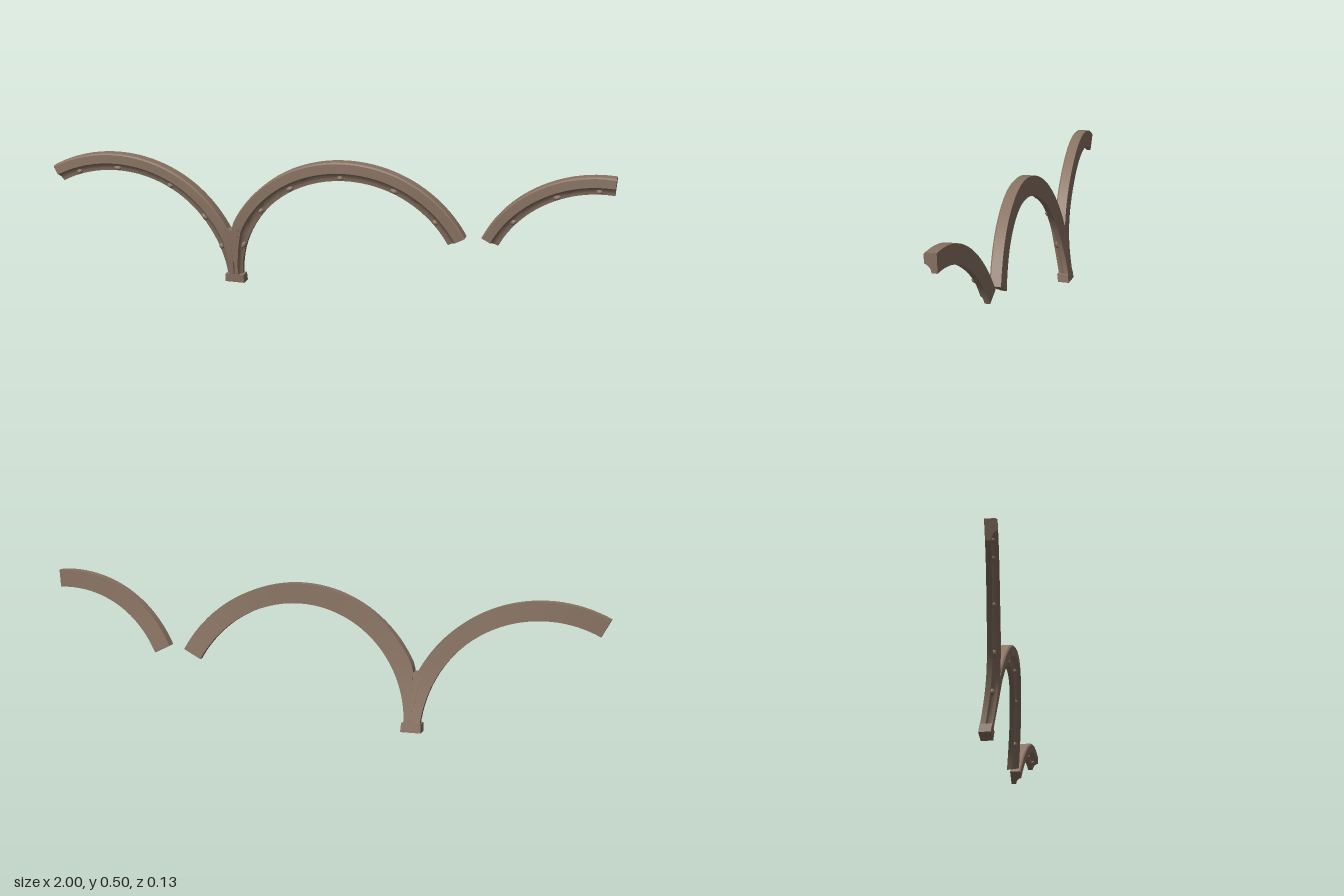
import * as THREE from 'three';
import { toCreasedNormals } from 'three/addons/utils/BufferGeometryUtils.js';

const rad = THREE.MathUtils.degToRad;
const LEG_X = -0.345;

// Moulding section: [fraction of width from inner edge, depth], counter-clockwise
const PROFILE = [
  [0, -0.02], [1, -0.02], [1, 0.015], [0.93, 0.02], [0.45, 0.02],
  [0.4, 0.012], [0.28, 0.004], [0.14, 0], [0, -0.002],
];

// Each arc: centre, inner and outer radius, [angle, depth] keys, angles of the beads
const ARCS = [
  { name: 'leftwardShortArch', cx: -0.78, cy: -0.006, r: 0.405, R: 0.47, leg: true,
    keys: [[1, -0.044], [26, -0.016], [60, 0.003], [90, 0.023], [118, 0.043]],
    beads: [20, 37, 60, 88, 108] },
  { name: 'middleArch', cx: 0.08, cy: 0.02, r: 0.4, R: 0.47, leg: true,
    keys: [[28, -0.034], [58, -0.01], [90, 0.007], [122, 0.003], [155, -0.016], [182.5, -0.044]],
    beads: [41, 66, 93, 120, 140, 162] },
  { name: 'separateArch', cx: 0.965, cy: 0.04, r: 0.4, R: 0.463,
    keys: [[85.7, -0.002], [120, -0.012], [153, -0.034]],
    beads: [93, 113, 138] },
];

// Smooth depth of an arc at an angle
function depthAt(arc, deg) {
  const k = arc.keys;
  let i = 0;
  while (i < k.length - 2 && deg > k[i + 1][0]) i++;
  const t = (deg - k[i][0]) / (k[i + 1][0] - k[i][0]);
  const slope = (j) => {
    const a = k[Math.max(j - 1, 0)], b = k[Math.min(j + 1, k.length - 1)];
    return (b[1] - a[1]) / (b[0] - a[0]);
  };
  const h = k[i + 1][0] - k[i][0], t2 = t * t, t3 = t2 * t;
  return (2 * t3 - 3 * t2 + 1) * k[i][1] + (t3 - 2 * t2 + t) * h * slope(i)
    + (3 * t2 - 2 * t3) * k[i + 1][1] + (t3 - t2) * h * slope(i + 1);
}

function pointOn(arc, deg, u, v) {
  const a = rad(deg), c = Math.cos(a);
  let R = arc.R;
  // The two arches share the leg, so each stops at its centre line
  const toLeg = (LEG_X - arc.cx) / c;
  if (arc.leg && toLeg > 0) R = Math.min(R, toLeg);
  const d = arc.r + (R - arc.r) * u;
  return [arc.cx + d * c, arc.cy + d * Math.sin(a), depthAt(arc, deg) + v];
}

function archGeometry(arc) {
  const n = PROFILE.length, a0 = arc.keys[0][0], a1 = arc.keys.at(-1)[0];
  const steps = Math.ceil((a1 - a0) / 3);
  const pos = [], idx = [];
  for (let i = 0; i <= steps; i++) {
    const deg = a0 + (a1 - a0) * i / steps;
    for (const [u, v] of PROFILE) pos.push(...pointOn(arc, deg, u, v));
  }
  for (let i = 0; i < steps; i++) {
    for (let j = 0; j < n; j++) {
      const a = i * n + j, b = i * n + (j + 1) % n;
      idx.push(a, a + n, b + n, a, b + n, b);
    }
  }
  // End faces
  const outline = PROFILE.map(([u, v]) => new THREE.Vector2(u, v));
  for (const [a, b, c] of THREE.ShapeUtils.triangulateShape(outline, [])) {
    const e = steps * n;
    idx.push(a, b, c, e + a, e + c, e + b);
  }
  const g = new THREE.BufferGeometry();
  g.setAttribute('position', new THREE.Float32BufferAttribute(pos, 3));
  g.setIndex(idx);
  return toCreasedNormals(g, rad(28));
}

// Upright slab on the leg that follows its backward lean
function legSlab(points, depth) {
  const g = new THREE.ExtrudeGeometry(new THREE.Shape(points.map(([x, y]) => new THREE.Vector2(LEG_X + x, y))),
    { depth, bevelEnabled: false });
  const p = g.attributes.position;
  for (let i = 0; i < p.count; i++) p.setZ(i, p.getZ(i) - depth / 2 - 0.044 + p.getY(i) * 0.145);
  g.computeVertexNormals();
  return g;
}

export function createModel() {
  const model = new THREE.Group();
  const stone = new THREE.MeshStandardMaterial({ color: 0x8a7464 });
  stone.name = 'brownStone';
  const add = (name, geometry) => {
    const m = new THREE.Mesh(geometry, stone);
    m.name = name;
    model.add(m);
    return m;
  };

  for (const arc of ARCS) {
    add(arc.name, archGeometry(arc));
    // Small carved beads in the hollow
    arc.beads.forEach((deg, i) => {
      const bead = add('carvedBead', new THREE.SphereGeometry(0.011, 10, 8));
      bead.position.set(...pointOn(arc, deg, 0.16, 0.001));
      bead.rotation.z = rad(deg);
      bead.scale.set(0.8, i % 2 ? 1.3 : 1, 1);
    });
  }

  // Plain foot of the leg and the web in the fork
  add('legFoot', legSlab([[-0.036, 0], [0.036, 0], [0.034, 0.03], [-0.034, 0.03]], 0.041));
  add('forkWeb', legSlab([[-0.008, 0.08], [0.008, 0.08], [0.028, 0.215], [0.012, 0.205], [-0.012, 0.205], [-0.028, 0.215]], 0.04));
  return model;
}
